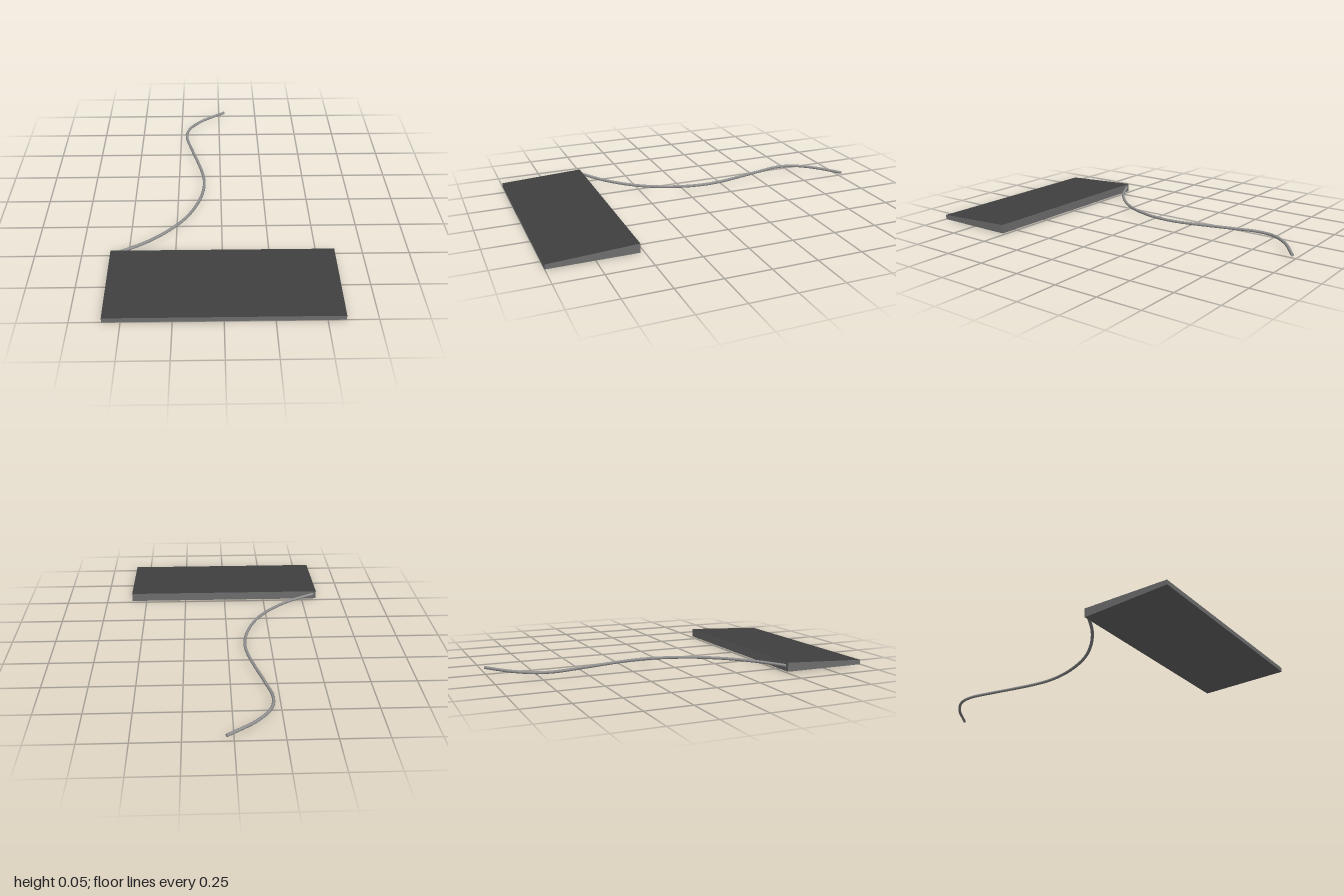
import * as THREE from 'three';

const makeMaterial = (name, color) => {
  const material = new THREE.MeshStandardMaterial({ color });
  material.name = name;
  return material;
};
const darkFace = makeMaterial('charcoal', 0x404040);
const greyCase = makeMaterial('grey', 0x6e6e6e);
const cableGrey = makeMaterial('light grey', 0x929292);

const HALF_WIDTH = 0.591, FRONT = 1, BACK = 0.52;
const FRONT_HEIGHT = 0.026, BACK_HEIGHT = 0.05;

// Wedge slab: grey sides and underside, charcoal top
function makeBody() {
  const geometry = new THREE.BoxGeometry(HALF_WIDTH * 2, 1, FRONT - BACK);
  const p = geometry.attributes.position;
  for (let i = 0; i < p.count; i++) {
    const height = p.getZ(i) > 0 ? FRONT_HEIGHT : BACK_HEIGHT;
    p.setY(i, p.getY(i) > 0 ? height : 0);
  }
  geometry.translate(0, 0, (FRONT + BACK) / 2);
  geometry.computeVertexNormals();
  const body = new THREE.Mesh(geometry,
    [greyCase, greyCase, darkFace, greyCase, greyCase, greyCase]);
  body.name = 'body';
  return body;
}

// Thin cable snaking back from the rear right corner
function makeCable() {
  const path = [
    [-0.57, 0.52], [-0.41, 0.426], [-0.283, 0.315], [-0.19, 0.193],
    [-0.12, 0.024], [-0.098, -0.114], [-0.106, -0.225], [-0.14, -0.375],
    [-0.18, -0.527], [-0.212, -0.675], [-0.195, -0.775], [-0.114, -0.882],
    [0.036, -0.995],
  ].map(([x, z]) => new THREE.Vector3(x, 0.03, z));
  const curve = new THREE.CatmullRomCurve3(path);
  const cable = new THREE.Group();
  cable.name = 'cable';
  const radius = 0.0085;
  const cord = new THREE.Mesh(new THREE.TubeGeometry(curve, 72, radius, 10), cableGrey);
  cord.name = 'cord';
  cable.add(cord);
  // Flat caps closing both ends
  for (const t of [0, 1]) {
    const cap = new THREE.Mesh(new THREE.CircleGeometry(radius, 10), cableGrey);
    cap.name = 'cordEnd';
    const point = curve.getPoint(t);
    const outward = curve.getTangent(t).multiplyScalar(t ? 1 : -1);
    cap.position.copy(point);
    cap.lookAt(point.clone().add(outward));
    cable.add(cap);
  }
  return cable;
}

export function createModel() {
  const model = new THREE.Group();
  model.name = 'keyboard';
  model.add(makeBody(), makeCable());
  return model;
}
